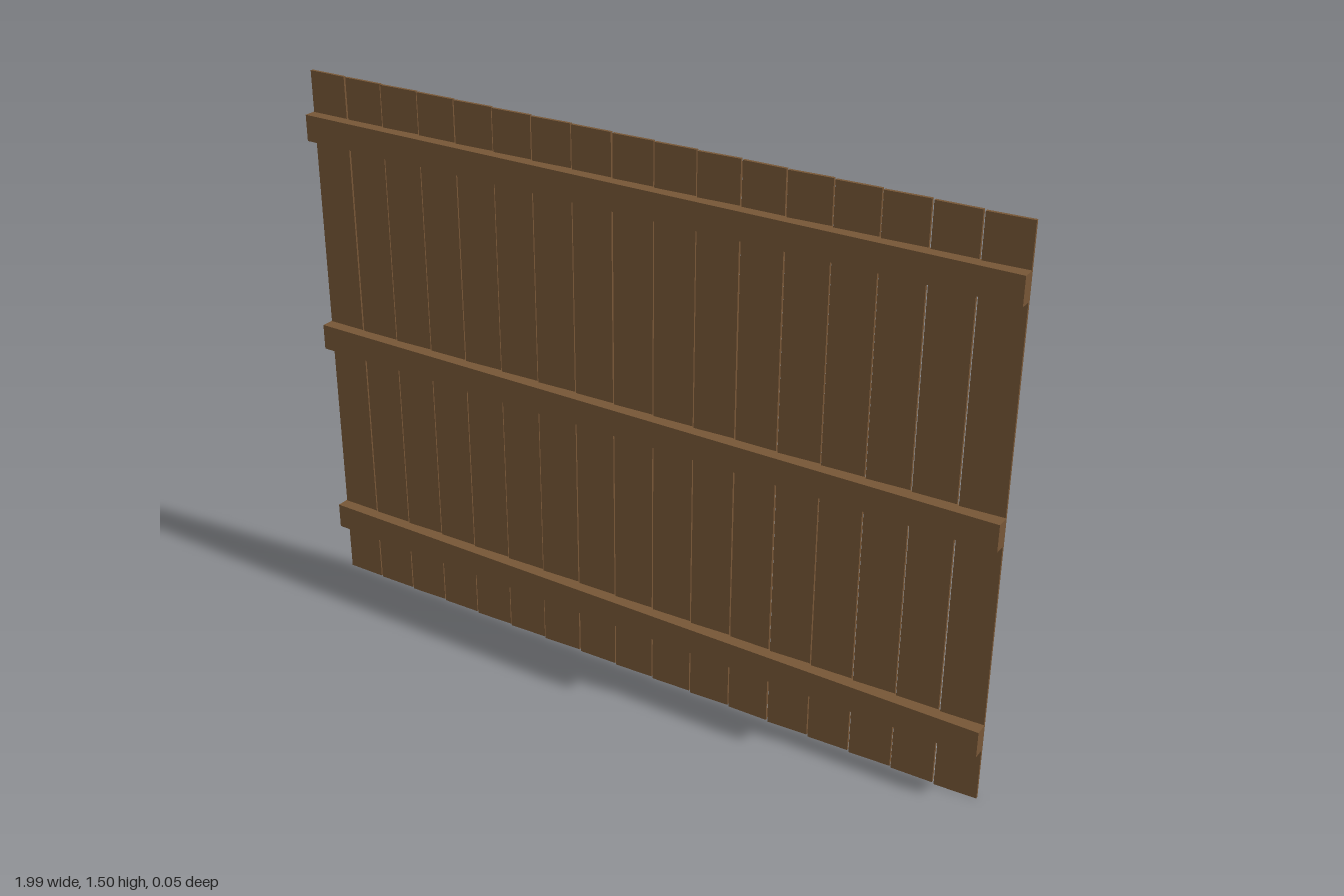
import * as THREE from 'three';

export function createModel() {
  const group = new THREE.Group();
  group.name = 'woodenFence';
  const wood = new THREE.MeshStandardMaterial({ color: 0x765636 });
  wood.name = 'brownWood';

  // small repeatable variation for hand-nailed boards
  let seed = 7;
  const vary = (amount) => {
    seed = (seed * 16807) % 2147483647;
    return (seed / 2147483647 - 0.5) * 2 * amount;
  };

  // upright planks, leaning slightly forward at the top
  const count = 17, pitch = 2 / count, height = 1.498;
  const plankGeometry = new THREE.BoxGeometry(0.111, height, 0.008);
  for (let i = 0; i < count; i++) {
    const plank = new THREE.Mesh(plankGeometry, wood);
    plank.name = `plank${i + 1}`;
    const x = -1 + pitch * (i + 0.5);
    plank.position.set(x * 0.997, 0.75, -0.0145);
    plank.rotation.set(0.005, 0.035 + vary(0.025), vary(0.0008));
    group.add(plank);
  }

  // horizontal rails on the front
  const railGeometry = new THREE.BoxGeometry(1.992, 0.071, 0.036);
  [['bottomRail', 0.185, 0.002], ['middleRail', 0.754, 0.005], ['topRail', 1.352, 0.006]]
    .forEach(([name, y, z]) => {
      const rail = new THREE.Mesh(railGeometry, wood);
      rail.name = name;
      rail.position.set(0, y, z);
      group.add(rail);
    });
  return group;
}
